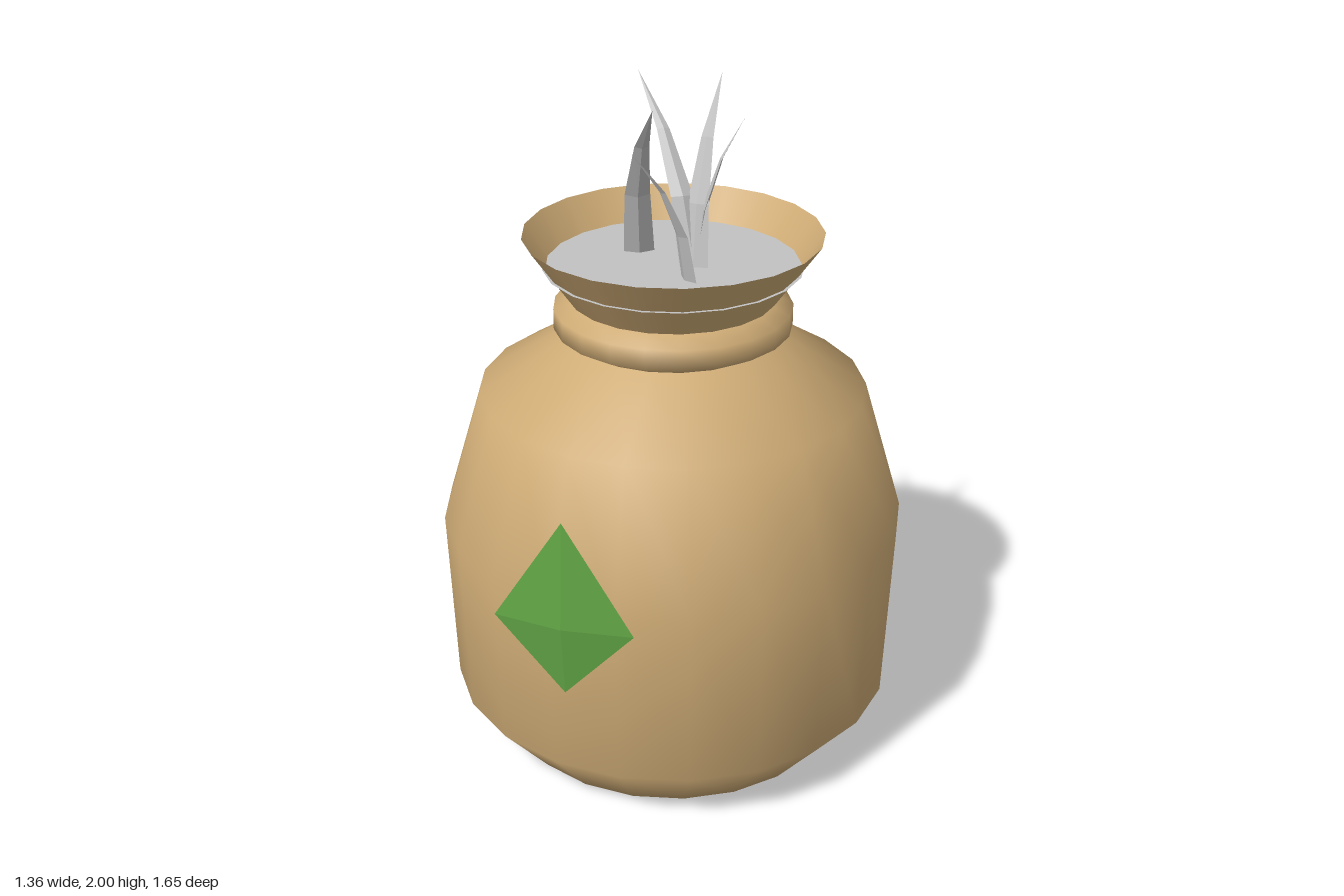
import * as THREE from 'three';

const SIDES = 21;
const AXIS_Z = -0.14;

const sackTan = new THREE.MeshStandardMaterial({ color: 0xcfac76, side: THREE.DoubleSide });
sackTan.name = 'sackTan';
const paleGray = new THREE.MeshStandardMaterial({ color: 0xc2c2c2, side: THREE.DoubleSide });
paleGray.name = 'paleGray';
const gemGreen = new THREE.MeshStandardMaterial({ color: 0x62a646 });
gemGreen.name = 'gemGreen';

function part(name, geometry, material) {
  const mesh = new THREE.Mesh(geometry, material);
  mesh.name = name;
  return mesh;
}

// Turned part with one corner on +x
function turned(name, profile) {
  const points = profile.map(([r, y]) => new THREE.Vector2(r, y));
  const mesh = part(name, new THREE.LatheGeometry(points, SIDES, Math.PI / 2), sackTan);
  mesh.position.z = AXIS_Z;
  return mesh;
}

// Faceted solid from a list of triangles
function faceted(triangles) {
  const geometry = new THREE.BufferGeometry().setFromPoints(triangles.flat());
  geometry.computeVertexNormals();
  return geometry;
}

// Curved blade: triangular sections along a path, tapering to a point
function blade(name, path, across, width) {
  const curve = new THREE.CatmullRomCurve3(path.map((p) => new THREE.Vector3(...p)));
  const side = new THREE.Vector3(...across).normalize();
  const steps = 3;
  const rings = [];
  for (let i = 0; i <= steps; i++) {
    const t = i / steps;
    const center = curve.getPoint(t);
    const ridge = new THREE.Vector3().crossVectors(side, curve.getTangent(t)).normalize();
    const half = (width / 2) * (1 - t ** 1.5);
    rings.push([
      center.clone().addScaledVector(side, -half),
      center.clone().addScaledVector(side, half),
      center.clone().addScaledVector(ridge, half * 0.4),
    ]);
  }
  const triangles = [];
  for (let i = 0; i < steps; i++) {
    for (let j = 0; j < 3; j++) {
      const k = (j + 1) % 3;
      const [a, b, c, d] = [rings[i][j], rings[i][k], rings[i + 1][k], rings[i + 1][j]];
      triangles.push([a, c, b]);
      if (i < steps - 1) triangles.push([a, d, c]);
    }
  }
  return part(name, faceted(triangles), paleGray);
}

// Flat-sided diamond with its waist below the middle
function diamond() {
  const top = new THREE.Vector3(0, 1.145, 0.8);
  const bottom = new THREE.Vector3(0, 0.64, 0.8);
  const waist = [[0.19, 0], [0, 0.024], [-0.19, 0], [0, -0.024]]
    .map(([x, z]) => new THREE.Vector3(x, 0.845, 0.8 + z));
  const triangles = [];
  waist.forEach((a, i) => {
    const b = waist[(i + 1) % 4];
    triangles.push([a, top, b], [a, b, bottom]);
  });
  return part('diamond', faceted(triangles), gemGreen);
}

export function createModel() {
  const model = new THREE.Group();
  model.name = 'sackOfBlades';

  // Sack body, tie band and open collar
  model.add(
    turned('sackBody', [[0, 0], [0.51, 0], [0.665, 0.18], [0.685, 0.72], [0.565, 1.12], [0.3, 1.285]]),
    turned('neckBand', [[0.29, 1.28], [0.345, 1.31], [0.345, 1.37], [0.29, 1.4]]),
    turned('collar', [[0.3, 1.4], [0.43, 1.585]]),
  );

  // Filling, just wider than the collar at its level
  const filling = part('filling', new THREE.CircleGeometry(0.374, SIDES), paleGray);
  filling.rotation.x = -Math.PI / 2;
  filling.position.set(0, 1.492, AXIS_Z);
  model.add(filling);

  // Blades standing in the filling
  model.add(
    blade('leftBlade', [[-0.125, 1.48, -0.21], [-0.09, 1.78, -0.1], [0, 1.99, 0.05]], [0.9, 0, -0.4], 0.09),
    blade('backLeftBlade', [[0.06, 1.48, -0.14], [-0.02, 1.77, -0.21], [-0.18, 1.975, -0.375]], [0.8, 0, -0.5], 0.08),
    blade('backBlade', [[0.065, 1.48, -0.135], [0.06, 1.75, -0.21], [0.075, 1.995, -0.36]], [1, 0, 0.1], 0.08),
    blade('rightBlade', [[0.06, 1.48, -0.18], [0.1, 1.73, -0.19], [0.18, 1.91, -0.225]], [0.1, 0, 1], 0.075),
    blade('frontBlade', [[0.08, 1.48, -0.035], [0.05, 1.7, 0.01], [-0.045, 1.885, 0.1]], [0.75, 0, 0.6], 0.075),
  );

  // Diamond floating in front
  model.add(diamond());
  return model;
}
